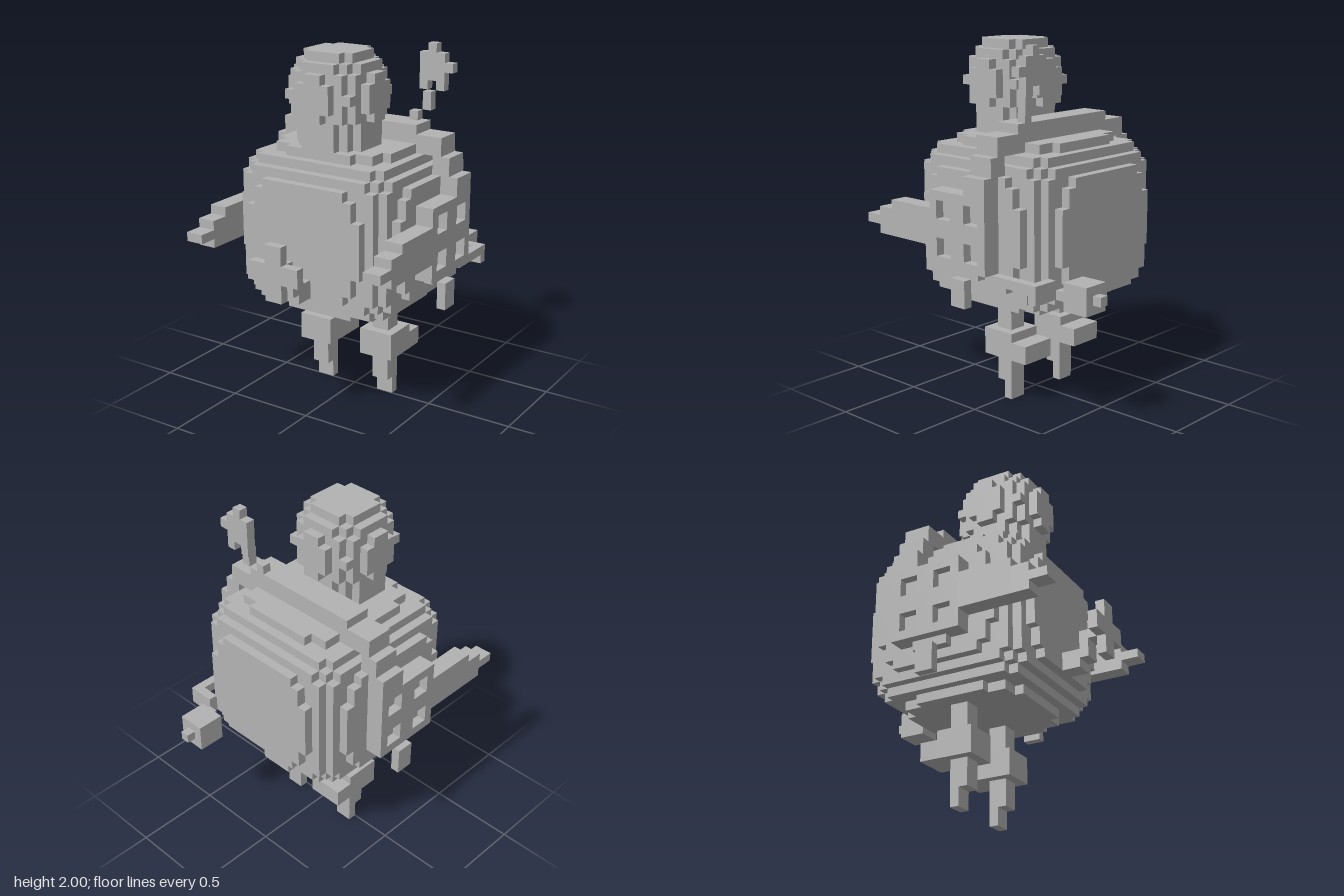
import * as THREE from 'three';

const V = 2 / 39; // edge of one voxel
const grey = new THREE.MeshStandardMaterial({ color: 0xb3b3b3 });
grey.name = 'grey';

function add(parent, name, geometry) {
  const mesh = new THREE.Mesh(geometry, grey);
  mesh.name = name;
  parent.add(mesh);
  return mesh;
}

// Box given by its limits in voxels
function box(parent, name, [x0, x1], [y0, y1], [z0, z1]) {
  const g = new THREE.BoxGeometry((x1 - x0) * V, (y1 - y0) * V, (z1 - z0) * V);
  g.translate((x0 + x1) * V / 2, (y0 + y1) * V / 2, (z0 + z1) * V / 2);
  return add(parent, name, g);
}

// Outer faces of all voxels whose centre satisfies the rule
function voxels(parent, name, [x0, x1], [y0, y1], [z0, z1], rule) {
  const pos = [], nor = [], idx = [];
  const filled = (p) => p[0] > x0 && p[0] < x1 && p[1] > y0 && p[1] < y1 &&
    p[2] > z0 && p[2] < z1 && rule(...p);
  for (let x = x0 + 0.5; x < x1; x++)
    for (let y = y0 + 0.5; y < y1; y++)
      for (let z = z0 + 0.5; z < z1; z++) {
        const c = [x, y, z];
        if (!filled(c)) continue;
        for (let a = 0; a < 3; a++)
          for (const s of [-1, 1]) {
            const n = [0, 0, 0];
            n[a] = s;
            if (filled(c.map((v, i) => v + n[i]))) continue;
            const u = (a + 1) % 3, w = (a + 2) % 3, k = pos.length / 3;
            for (const [du, dw] of [[-1, -1], [1, -1], [1, 1], [-1, 1]]) {
              const p = c.slice();
              p[a] += s / 2;
              p[u] += s * du / 2;
              p[w] += dw / 2;
              pos.push(p[0] * V, p[1] * V, p[2] * V);
              nor.push(...n);
            }
            idx.push(k, k + 1, k + 2, k, k + 2, k + 3);
          }
      }
  const g = new THREE.BufferGeometry();
  g.setAttribute('position', new THREE.Float32BufferAttribute(pos, 3));
  g.setAttribute('normal', new THREE.Float32BufferAttribute(nor, 3));
  g.setIndex(idx);
  return add(parent, name, g);
}

function group(parent, name) {
  const g = new THREE.Group();
  g.name = name;
  parent.add(g);
  return g;
}

export function createModel() {
  const model = new THREE.Group();
  model.name = 'voxelRobot';

  // Rounded tank body, neck and round head
  voxels(model, 'body', [-10, 10], [11, 29], [-10, 10],
    (x, y, z) => (x / 10) ** 4 + ((y - 20) / 9) ** 4 + (z / 10) ** 4 <= 1);
  voxels(model, 'neck', [-4, 4], [28, 33], [-1, 7],
    (x, y, z) => x * x + (z - 3) ** 2 <= 16);
  voxels(model, 'head', [-5, 5], [29, 40], [-2, 8],
    (x, y, z) => x * x + (y - 34.5) ** 2 + (z - 3) ** 2 <= 25);

  // Strap over the shoulders
  const strap = group(model, 'strap');
  box(strap, 'strapTop', [-7, 7], [29, 31], [-4, -1]);

  for (const s of [1, -1]) {
    const side = s > 0 ? 'left' : 'right';
    const span = (a, b) => (s > 0 ? [a, b] : [-b, -a]);

    box(strap, side + 'StrapShoulder', span(7, 10), [28, 30], [-4, -1]);
    box(strap, side + 'StrapCorner', span(9, 11), [26, 28], [-4, -1]);
    box(strap, side + 'StrapEnd', span(10, 12), [24, 26], [-4, -1]);

    // Side panel with four square recesses
    const arm = group(model, side + 'Arm');
    voxels(arm, side + 'Panel', span(10, 12), [16, 24], [-4, 4], (x, y, z) => {
      const inRow = (y > 17 && y < 19) || (y > 21 && y < 23);
      const inColumn = Math.abs(z) > 1 && Math.abs(z) < 3;
      return !(Math.abs(x) > 11 && inRow && inColumn);
    });
    // Tapered forearm
    box(arm, side + 'Forearm', span(10, 12), [18, 22], [4, 10]);
    box(arm, side + 'Wrist', span(10, 12), [18, 21], [10, 12]);
    box(arm, side + 'Fingertip', span(10, 12), [19, 20], [12, 14]);
    // Small nozzle below the panel
    box(arm, side + 'NozzleMount', span(10, 11), [15, 16], [-2, 2]);
    box(arm, side + 'Nozzle', span(11, 12), [12, 15], [-1, 1]);

    // Leg with a knee block
    const leg = group(model, side + 'Leg');
    box(leg, side + 'Thigh', span(3, 5), [8, 11], [-1, 1]);
    box(leg, side + 'Knee', span(2, 6), [5, 8], [-2, 2]);
    box(leg, side + 'KneeBack', span(2, 6), [5, 7], [-4, -2]);
    box(leg, side + 'Shin', span(3, 5), [2, 5], [-1, 1]);
    box(leg, side + 'Foot', span(3, 5), [0, 2], [-1, 0]);
  }

  // Front pipe with a cross-shaped valve handle
  const valve = group(model, 'valve');
  box(valve, 'pipeBase', [-1, 1], [14, 16], [9, 12]);
  box(valve, 'pipeBend', [-1, 1], [15, 18], [12, 13]);
  box(valve, 'pipeEnd', [-1, 1], [17, 19], [13, 14]);
  voxels(valve, 'valveHandle', [-3, 3], [15, 21], [14, 15],
    (x, y) => Math.abs(x) < 1 || Math.abs(y - 18) < 1);

  // Hose running round the left side to a block at the back
  const hose = group(model, 'hose');
  box(hose, 'hoseSide', [10, 11], [15, 16], [-9, -4]);
  box(hose, 'hoseBack', [8, 11], [14, 16], [-10, -9]);
  box(hose, 'hoseLink', [7, 8], [14, 15], [-11, -10]);
  box(hose, 'hoseBlock', [5, 8], [13, 16], [-14, -11]);
  box(hose, 'hoseTip', [6, 7], [14, 15], [-15, -14]);

  // Flower on a stepped stem
  const flower = group(model, 'flower');
  box(flower, 'stemLower', [5, 6], [29, 32], [-4, -3]);
  box(flower, 'stemUpper', [6, 7], [32, 34], [-5, -4]);
  box(flower, 'blossom', [5, 8], [35, 38], [-6, -5]);
  box(flower, 'topPetal', [6, 7], [38, 39], [-6, -5]);
  box(flower, 'sidePetal', [8, 9], [36, 37], [-6, -5]);
  box(flower, 'lowerPetalInner', [5, 6], [34, 35], [-6, -5]);
  box(flower, 'lowerPetalOuter', [7, 8], [34, 35], [-6, -5]);

  return model;
}
